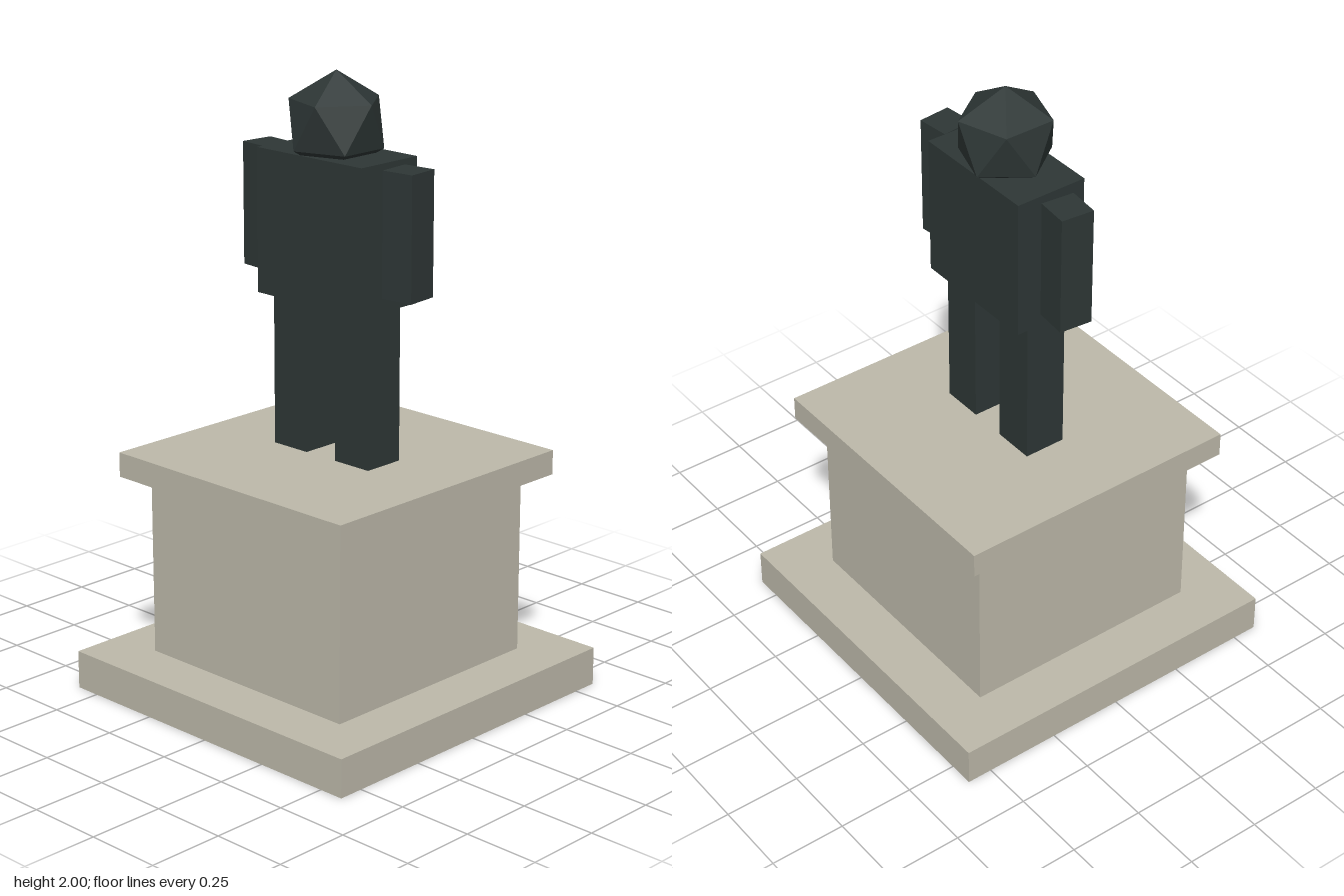
import * as THREE from 'three';

export function createModel() {
  const model = new THREE.Group();
  model.name = 'statueOnPedestal';

  const stone = new THREE.MeshStandardMaterial({ color: 0xbdb9aa });
  stone.name = 'stone';
  const bronze = new THREE.MeshStandardMaterial({ color: 0x2e3736 });
  bronze.name = 'darkBronze';

  // Box centred on x, z and spanning y0 to y1
  function block(parent, name, material, width, depth, y0, y1, x = 0) {
    const mesh = new THREE.Mesh(new THREE.BoxGeometry(width, y1 - y0, depth), material);
    mesh.name = name;
    mesh.position.set(x, (y0 + y1) / 2, 0);
    parent.add(mesh);
    return mesh;
  }

  // Pedestal: wide foot, square body and overhanging cap
  const pedestal = new THREE.Group();
  pedestal.name = 'pedestal';
  block(pedestal, 'pedestalBase', stone, 1.168, 1.168, 0, 0.125);
  block(pedestal, 'pedestalBody', stone, 0.82, 0.82, 0.125, 0.714);
  block(pedestal, 'pedestalCap', stone, 0.96, 0.96, 0.714, 0.794);

  // Figure: torso with mirrored legs and slightly turned arms
  const figure = new THREE.Group();
  figure.name = 'figure';
  block(figure, 'torso', bronze, 0.44, 0.242, 1.292, 1.75);
  for (const [side, s] of [['left', 1], ['right', -1]]) {
    block(figure, side + 'Leg', bronze, 0.14, 0.14, 0.794, 1.292, s * 0.132);
    const arm = block(figure, side + 'Arm', bronze, 0.109, 0.109, 1.346, 1.738, s * 0.296);
    arm.rotation.y = s * 0.1;
  }

  // Faceted head, tipped so that one corner points straight up
  const headRadius = 0.163;
  const headShape = new THREE.IcosahedronGeometry(headRadius, 0);
  headShape.rotateZ(-Math.atan(2 / (1 + Math.sqrt(5))));
  const head = new THREE.Mesh(headShape, bronze);
  head.name = 'head';
  head.position.y = 2 - headRadius;
  figure.add(head);

  model.add(pedestal, figure);
  return model;
}
